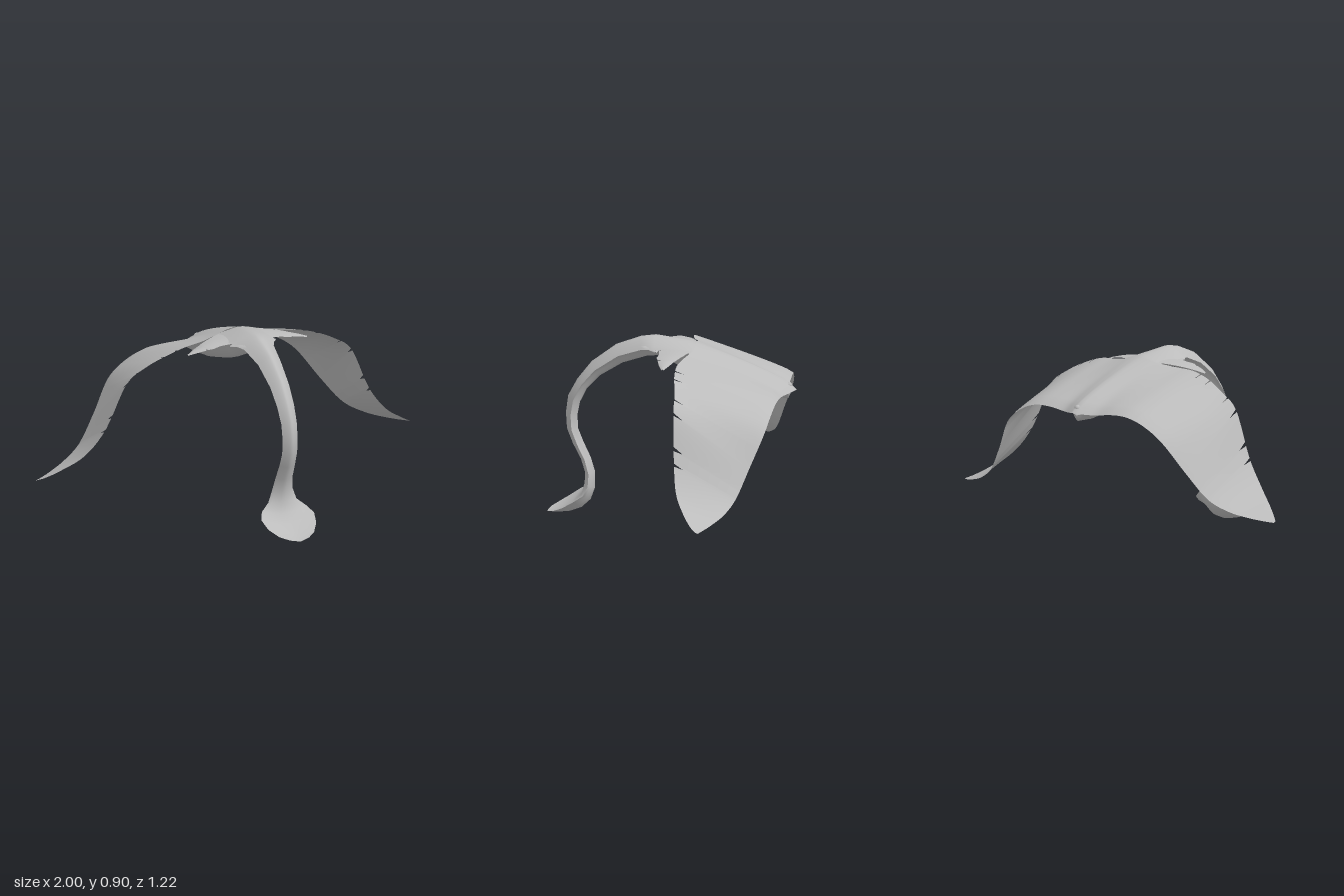
import * as THREE from 'three';

const grey = new THREE.MeshStandardMaterial({ color: 0xbcbcbc, side: THREE.DoubleSide });
grey.name = 'plain grey';

// Smooth surface through columns of points (every column has the same length)
function sheet(name, columns) {
  const n = columns[0].length, index = [];
  for (let i = 0; i < columns.length - 1; i++) {
    for (let j = 0; j < n - 1; j++) {
      const a = i * n + j, c = a + n;
      index.push(a, a + 1, c, a + 1, c + 1, c);
    }
  }
  const geometry = new THREE.BufferGeometry();
  geometry.setAttribute('position', new THREE.Float32BufferAttribute(columns.flat(2), 3));
  geometry.setIndex(index);
  geometry.computeVertexNormals();
  const mesh = new THREE.Mesh(geometry, grey);
  mesh.name = name;
  return mesh;
}

// Smooth lookup in a table whose first column is the key
function lookup(table, x, k) {
  let i = 0;
  while (i < table.length - 2 && x > table[i + 1][0]) i++;
  const slope = (p) => {
    const a = table[Math.max(p - 1, 0)], b = table[Math.min(p + 1, table.length - 1)];
    return (b[k] - a[k]) / (b[0] - a[0]);
  };
  const p = table[i], q = table[i + 1], h = q[0] - p[0], t = (x - p[0]) / h;
  const s = t * t * (3 - 2 * t);
  return p[k] + (q[k] - p[k]) * s
    + h * t * (1 - t) * ((1 - t) * slope(i) - t * slope(i + 1));
}

// Wing: x, front edge z, rear edge z, front edge y, rear edge y
const WING = [
  [0, -0.12, -0.61, 0.872, 0.655], [0.05, -0.12, -0.585, 0.865, 0.65],
  [0.1, -0.115, -0.56, 0.853, 0.648], [0.2, -0.083, -0.555, 0.838, 0.66],
  [0.3, -0.067, -0.55, 0.828, 0.657], [0.4, -0.07, -0.54, 0.797, 0.622],
  [0.5, -0.087, -0.52, 0.748, 0.55], [0.6, -0.095, -0.465, 0.672, 0.41],
  [0.7, -0.112, -0.415, 0.455, 0.285], [0.8, -0.137, -0.37, 0.325, 0.228],
  [0.9, -0.187, -0.32, 0.25, 0.2], [0.97, -0.232, -0.285, 0.205, 0.188],
  [1, -0.258, -0.272, 0.19, 0.185],
];
const SLITS = [0.35, 0.415, 0.545, 0.605, 0.675, 0.71];

// One sheet spans both wings; slits are columns whose front edge is pulled back
function wings() {
  const half = [];
  for (let i = 0; i <= 50; i++) {
    const x = i / 50;
    if (!SLITS.some((s) => Math.abs(s - x) < 0.009)) half.push([x, 0]);
  }
  for (const s of SLITS) half.push([s - 0.008, 0], [s - 0.004, 0.045], [s, 0]);
  half.sort((a, b) => a[0] - b[0]);
  const all = [...half.slice(1).reverse().map(([x, d]) => [-x, d]), ...half];
  return sheet('wings', all.map(([sx, depth]) => {
    const x = Math.abs(sx);
    const [zf, zb, yf, yb] = [1, 2, 3, 4].map((k) => lookup(WING, x, k));
    const column = [];
    for (let j = 0; j <= 14; j++) {
      const z = zb + (zf - depth - zb) * j / 14;
      const t = (z - zb) / (zf - zb);
      const bow = 0.055 * t ** 0.4 * (1 - t) * (1 - x) ** 2;
      column.push([sx, yb + (yf - yb) * t + bow, z]);
    }
    return column;
  }));
}

// Body, neck and bill: half width, top z and y, underside z and y, lift of the rim
const BODY = [
  [0, -0.58, 0.645, -0.58, 0.635, 0],
  [0.05, -0.56, 0.655, -0.57, 0.612, 0.02],
  [0.14, -0.5, 0.69, -0.5, 0.612, 0.023],
  [0.21, -0.35, 0.76, -0.35, 0.64, 0.04],
  [0.18, -0.2, 0.825, -0.2, 0.685, 0.046],
  [0.12, -0.1, 0.879, -0.1, 0.725, 0.046],
  [0.11, 0.08, 0.905, 0.06, 0.802, 0.002],
  [0.078, 0.15, 0.895, 0.12, 0.797, 0],
  [0.06, 0.27, 0.85, 0.24, 0.758, 0],
  [0.05, 0.39, 0.76, 0.35, 0.69, 0],
  [0.045, 0.46, 0.67, 0.412, 0.625, 0],
  [0.041, 0.505, 0.585, 0.447, 0.555, 0],
  [0.04, 0.516, 0.5, 0.46, 0.49, 0],
  [0.04, 0.511, 0.42, 0.456, 0.42, 0],
  [0.042, 0.482, 0.345, 0.43, 0.355, 0],
  [0.046, 0.443, 0.27, 0.395, 0.28, 0],
  [0.055, 0.422, 0.2, 0.374, 0.21, 0],
  [0.075, 0.425, 0.15, 0.374, 0.13, 0.008],
  [0.118, 0.44, 0.095, 0.395, 0.07, 0.03],
  [0.14, 0.485, 0.055, 0.44, 0.028, 0.045],
  [0.127, 0.535, 0.026, 0.495, 0.008, 0.036],
  [0.092, 0.575, 0.013, 0.555, 0.003, 0.019],
  [0.05, 0.598, 0.009, 0.594, 0.003, 0.008],
  [0, 0.607, 0.006, 0.607, 0.004, 0],
];

// One curved half of the body, meeting the other at a sharp rim;
// bend(u) runs from 0 at the middle to 1 at the rim
function bodySide(name, zColumn, direction, bend) {
  return sheet(name, BODY.map((s) => {
    const z = s[zColumn], y = s[zColumn + 1];
    const rimZ = (s[1] + s[3]) / 2, rimY = (s[2] + s[4]) / 2 + s[5];
    const strip = [];
    for (let j = -5; j <= 5; j++) {
      const u = j / 5, e = bend(Math.abs(u));
      strip.push([direction * u * s[0], y + (rimY - y) * e, z + (rimZ - z) * e]);
    }
    return strip;
  }));
}

// Small feather in front of each wing: x, rear z, front z, y
const FEATHER = [
  [0.06, -0.11, 0.06, 0.86], [0.11, -0.105, 0.045, 0.852], [0.16, -0.085, 0.038, 0.847],
  [0.2, -0.065, 0.046, 0.841], [0.225, -0.053, 0.036, 0.836], [0.229, -0.05, 0.018, 0.835],
  [0.233, -0.047, 0.035, 0.834], [0.28, -0.027, 0.022, 0.823], [0.318, -0.004, 0.004, 0.81],
];
// Short tuft beside the base of the neck
const TUFT = [
  [0.07, 0.03, 0.14, 0.86], [0.095, 0.045, 0.105, 0.853], [0.122, 0.058, 0.064, 0.845],
];

function feather(name, table, side) {
  return sheet(name, table.map(([x, zb, zf, y]) =>
    [0, 0.25, 0.5, 0.75, 1].map((t) =>
      [side * x, y + 0.02 * t * (1 - t), zb + (zf - zb) * t])));
}

export function createModel() {
  const model = new THREE.Group();
  model.name = 'bird';
  model.add(
    wings(),
    bodySide('bodyTop', 1, 1, (u) => u ** 1.4),
    bodySide('bodyUnderside', 3, -1, (u) => u * u * (3 - 2 * u)),
  );

  for (const [label, side] of [['left', 1], ['right', -1]]) {
    model.add(feather(label + 'ShoulderFeather', FEATHER, side));
    model.add(feather(label + 'NeckTuft', TUFT, side));
  }

  // Small round stud set into the rear tip
  const stud = new THREE.Mesh(new THREE.SphereGeometry(0.016, 12, 8), grey);
  stud.name = 'rearStud';
  stud.position.set(0, 0.675, -0.573);
  model.add(stud);
  return model;
}
